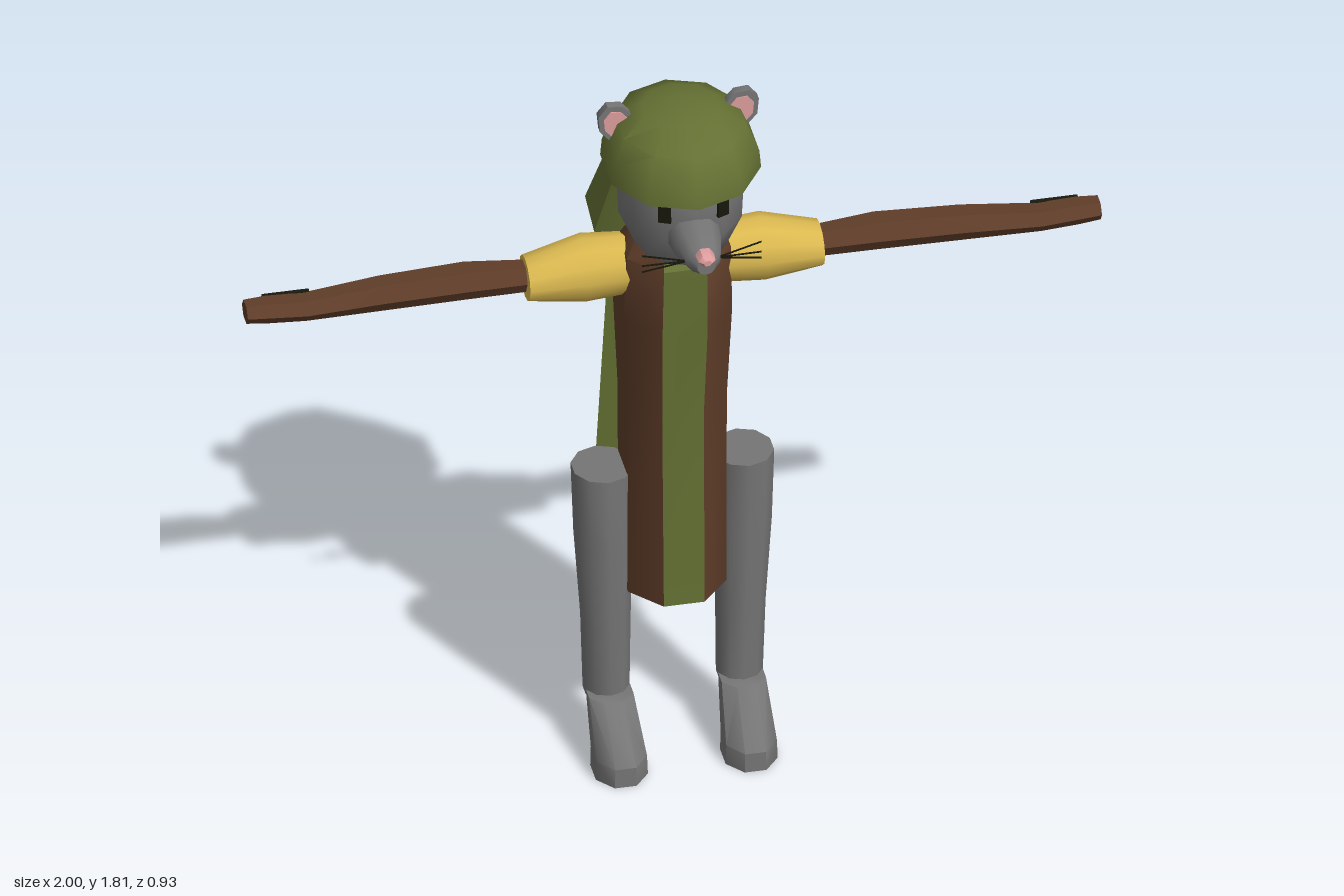
import * as THREE from 'three';
import { toCreasedNormals } from 'three/addons/utils/BufferGeometryUtils.js';

const mat = (name, color, side = THREE.FrontSide) => {
  const m = new THREE.MeshStandardMaterial({ color, side });
  m.name = name;
  return m;
};

// Unit axes (u, v) of the cross-section for each direction of travel.
const AXES = {
  x: [[0, 1, 0], [0, 0, 1]],
  y: [[0, 0, 1], [1, 0, 0]],
  z: [[1, 0, 0], [0, 1, 0]],
};

// Skins rings of [centre, radiusU, radiusV, tilt]; tilt shears the ring along the travel axis.
function loft(rings, n, axis, { side = 1, phase = 0.5, keep = () => true, caps = true } = {}) {
  const [u, v] = AXES[axis].map((a) => new THREE.Vector3(...a));
  const w = new THREE.Vector3().crossVectors(u, v);
  const point = ([c, ru, rv, tilt = 0], j) => {
    const a = ((j + phase) / n) * Math.PI * 2;
    const p = new THREE.Vector3(...c)
      .addScaledVector(u, ru * Math.cos(a))
      .addScaledVector(v, rv * Math.sin(a))
      .addScaledVector(w, tilt * Math.cos(a));
    p.x *= side;
    return p;
  };
  const out = [];
  const tri = (a, b, c) => {
    for (const p of side > 0 ? [a, b, c] : [a, c, b]) out.push(p.x, p.y, p.z);
  };
  const last = rings[rings.length - 1];
  const mid = (r) => new THREE.Vector3(r[0][0] * side, r[0][1], r[0][2]);
  for (let j = 0; j < n; j++) {
    if (!keep(j)) continue;
    for (let i = 0; i < rings.length - 1; i++) {
      const a = point(rings[i], j), b = point(rings[i], j + 1);
      const c = point(rings[i + 1], j), d = point(rings[i + 1], j + 1);
      tri(a, b, d);
      tri(a, d, c);
    }
    if (caps) {
      tri(mid(rings[0]), point(rings[0], j + 1), point(rings[0], j));
      tri(mid(last), point(last, j), point(last, j + 1));
    }
  }
  const g = new THREE.BufferGeometry();
  g.setAttribute('position', new THREE.Float32BufferAttribute(out, 3));
  return toCreasedNormals(g, 0.8);
}

export function createModel() {
  const grey = mat('grey fur', 0x757575);
  const green = mat('green cloth', 0x647033);
  const capeGreen = mat('green cape cloth', 0x647033, THREE.DoubleSide);
  const brown = mat('brown leather', 0x5f3d29);
  const yellow = mat('yellow sleeve', 0xdab850);
  const pink = mat('pink skin', 0xdc9c9c);
  const black = mat('black', 0x17170c);

  const model = new THREE.Group();
  model.name = 'mouse';
  const add = (name, geometry, material, parent = model) => {
    const m = new THREE.Mesh(geometry, material);
    m.name = name;
    parent.add(m);
    return m;
  };

  // Eight-sided tunic; the front facet is the green stripe
  const tunic = [
    [[0, 0.44, 0.08], 0.141, 0.125],
    [[0, 0.95, 0.078], 0.128, 0.127],
    [[0, 1.2, 0.081], 0.15, 0.138],
    [[0, 1.38, 0.1], 0.135, 0.132],
    [[0, 1.43, 0.095], 0.085, 0.1],
  ];
  add('tunic', loft(tunic, 8, 'y', { keep: (j) => j !== 7 }), brown);
  add('tunicStripe', loft(tunic, 8, 'y', { keep: (j) => j === 7 }), green);

  // Head, snout and nose
  add('head', loft([
    [[0, 1.395, 0.145], 0.078, 0.07],
    [[0, 1.44, 0.165], 0.125, 0.108],
    [[0, 1.53, 0.17], 0.158, 0.146],
    [[0, 1.62, 0.17], 0.164, 0.15],
    [[0, 1.72, 0.17], 0.155, 0.14],
  ], 12, 'y', { phase: 0 }), grey);
  add('snout', loft([
    [[0, 1.54, 0.28], 0.065, 0.058],
    [[0, 1.541, 0.36], 0.057, 0.052],
    [[0, 1.543, 0.42], 0.042, 0.036],
    [[0, 1.545, 0.452], 0.022, 0.022],
  ], 10, 'z'), grey);
  add('nose', loft([
    [[0, 1.566, 0.43], 0.022, 0.018],
    [[0, 1.566, 0.46], 0.02, 0.016],
    [[0, 1.566, 0.47], 0.01, 0.008],
  ], 6, 'z', { phase: 0 }), pink);

  // Domed cap
  add('cap', loft([
    [[0, 1.65, 0.17], 0.204, 0.184],
    [[0, 1.695, 0.17], 0.2, 0.18],
    [[0, 1.76, 0.165], 0.165, 0.152],
    [[0, 1.797, 0.158], 0.088, 0.09],
    [[0, 1.804, 0.155], 0.03, 0.03],
  ], 10, 'y', { phase: 0 }), green);

  // Hood hanging behind the neck
  add('hood', loft([
    [[0, 1.34, -0.1], 0.132, 0.168, -0.04],
    [[0, 1.612, -0.018], 0.087, 0.105, -0.028],
  ], 8, 'y'), green);

  // Flat cape, widening towards the hem
  const cape = new THREE.PlaneGeometry(1, 1, 1, 4);
  const cp = cape.attributes.position;
  for (let i = 0; i < cp.count; i++) {
    const t = 0.5 - cp.getY(i);
    cp.setXYZ(i, cp.getX(i) * (0.22 + 0.07 * t), 1.42 - 1.12 * t, -0.06 - 0.105 * t);
  }
  cape.computeVertexNormals();
  add('cape', cape, capeGreen);

  // Tail, thin from side to side
  add('tail', loft([
    [[0.1, 0.07, -0.462], 0.001, 0.001],
    [[0.06, 0.13, -0.348], 0.008, 0.01, 0.02],
    [[0.01, 0.507, -0.19], 0.01, 0.014, -0.037],
    [[0, 0.75, -0.04], 0.01, 0.014, -0.036],
  ], 4, 'y', { phase: 0 }), pink);

  for (const s of [1, -1]) {
    const half = new THREE.Group();
    half.name = s > 0 ? 'leftSide' : 'rightSide';
    model.add(half);
    const put = (name, geometry, material) => add(name, geometry, material, half);

    // Arm and puffed sleeve
    put('arm', loft([
      [[0.3, 1.312, 0.075], 0.036, 0.034],
      [[0.48, 1.312, 0.062], 0.042, 0.048],
      [[0.68, 1.31, 0.068], 0.039, 0.045],
      [[0.86, 1.303, 0.075], 0.03, 0.04],
      [[0.95, 1.308, 0.075], 0.03, 0.037],
      [[1, 1.31, 0.076], 0.026, 0.033],
    ], 6, 'x', { side: s }), brown);
    put('sleeve', loft([
      [[0.08, 1.325, 0.085], 0.07, 0.07],
      [[0.21, 1.322, 0.08], 0.08, 0.078],
      [[0.345, 1.312, 0.08], 0.052, 0.06],
    ], 12, 'x', { side: s, phase: 0 }), yellow);
    const patch = put('handPatch', new THREE.BoxGeometry(0.11, 0.032, 0.009), black);
    patch.position.set(s * 0.9, 1.318, 0.045);
    patch.rotation.x = 0.5;

    // Leg and forward-slanting foot
    put('leg', loft([
      [[0.156, 0.145, 0.083], 0.054, 0.054],
      [[0.158, 0.35, 0.085], 0.06, 0.058],
      [[0.163, 0.58, 0.082], 0.074, 0.068],
      [[0.165, 0.765, 0.08], 0.077, 0.072],
    ], 10, 'y', { side: s, phase: 0 }), grey);
    put('foot', loft([
      [[0.152, 0, 0.207], 0.08, 0.066],
      [[0.152, 0.05, 0.205], 0.082, 0.064],
      [[0.155, 0.158, 0.118], 0.052, 0.056],
    ], 8, 'y', { side: s }), grey);

    // Ear with pink inner face
    const ear = new THREE.Group();
    ear.name = 'ear';
    ear.position.set(s * 0.145, 1.757, 0.138);
    ear.rotation.z = s * -0.4;
    half.add(ear);
    const disc = (name, r, depth, z, m) => {
      const g = new THREE.CylinderGeometry(r, r, depth, 8).rotateX(Math.PI / 2).scale(0.85, 1.1, 1);
      add(name, toCreasedNormals(g, 0.8), m, ear).position.z = z;
    };
    disc('earShell', 0.05, 0.022, 0, grey);
    disc('innerEar', 0.036, 0.006, 0.011, pink);

    // Eye plate and whiskers
    const eye = put('eye', new THREE.BoxGeometry(0.03, 0.046, 0.009), black);
    eye.position.set(s * 0.068, 1.608, 0.313);
    eye.rotation.y = s * 0.4;
    for (const tipY of [1.56, 1.532, 1.515]) {
      const a = new THREE.Vector3(s * 0.035, 1.538, 0.41);
      const b = new THREE.Vector3(s * 0.14, tipY, 0.4);
      put('whisker', new THREE.TubeGeometry(new THREE.LineCurve3(a, b), 1, 0.0025, 4), black);
    }
  }
  return model;
}
